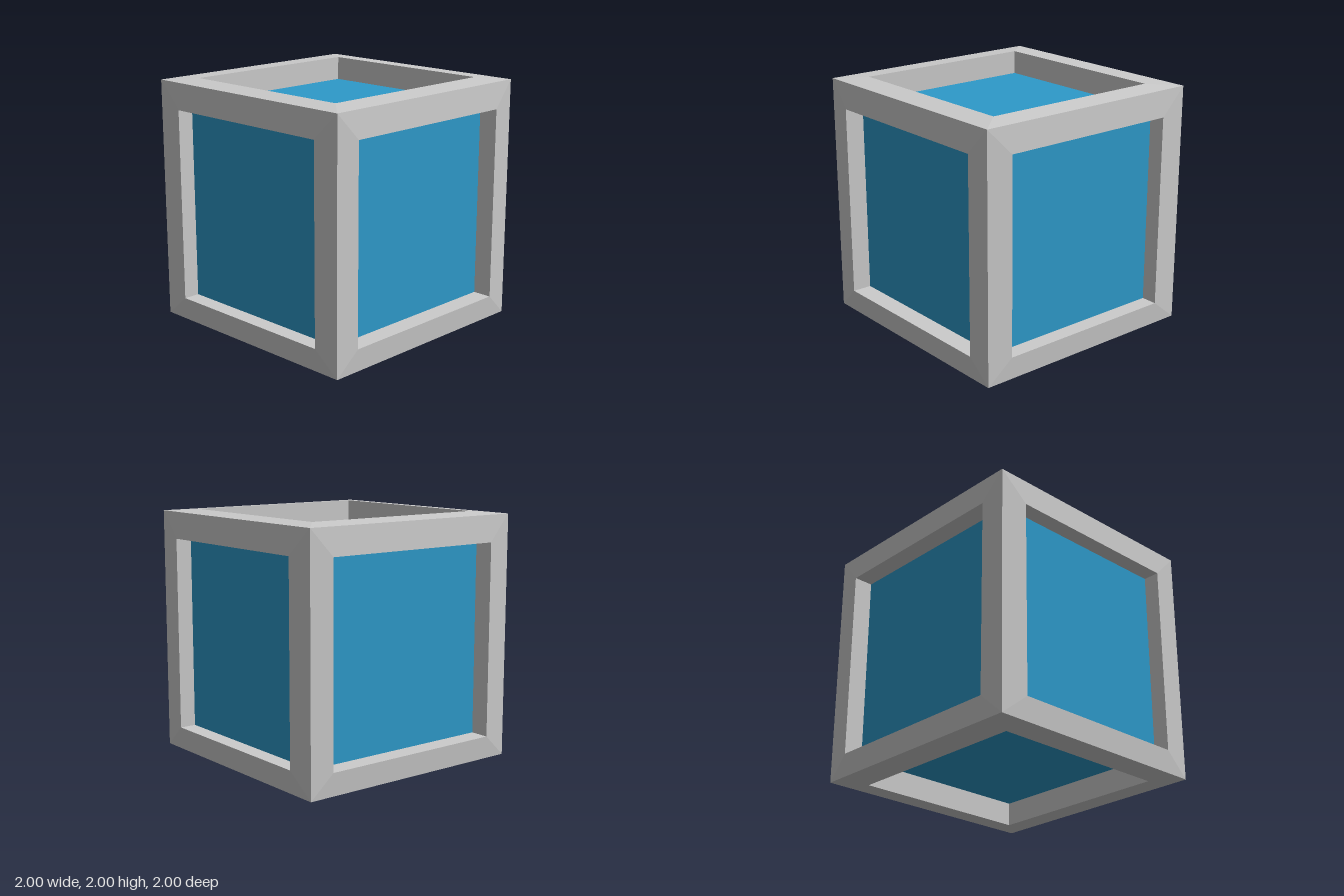
import * as THREE from 'three';

// Window limits and panel half size along x, y, z, measured from the cube centre
const LOW = [-0.755, -0.8, -0.79];
const HIGH = [0.77, 0.77, 0.785];
const PANEL = [0.84, 0.805, 0.865];
const CORNER = 0.985; // the cube's corners sit slightly inside the face planes
const NAMES = [['left', 'right'], ['top', 'bottom'], ['front', 'back']];

// One side of the frame: a sloped border around the window plus the recess walls
function frameSide(axis, sign) {
  const b = (axis + 1) % 3, c = (axis + 2) % 3;
  const ring = (lowB, highB, lowC, highC, depth) =>
    [[lowB, lowC], [highB, lowC], [highB, highC], [lowB, highC]].map(([u, v]) => {
      const p = [0, 0, 0];
      p[axis] = sign * depth;
      p[b] = u;
      p[c] = v;
      return p;
    });
  const rings = [
    ring(-CORNER, CORNER, -CORNER, CORNER, CORNER),
    ring(LOW[b], HIGH[b], LOW[c], HIGH[c], 1),
    ring(LOW[b], HIGH[b], LOW[c], HIGH[c], PANEL[axis] - 0.01),
  ];
  const positions = [];
  for (let r = 0; r < 2; r++) {
    for (let i = 0; i < 4; i++) {
      const j = (i + 1) % 4;
      const quad = [rings[r][i], rings[r][j], rings[r + 1][j], rings[r + 1][i]];
      if (sign < 0) quad.reverse();
      for (const k of [0, 1, 2, 0, 2, 3]) positions.push(...quad[k]);
    }
  }
  const geometry = new THREE.BufferGeometry();
  geometry.setAttribute('position', new THREE.Float32BufferAttribute(positions, 3));
  geometry.computeVertexNormals();
  return geometry;
}

export function createModel() {
  const model = new THREE.Group();
  model.name = 'framedCube';
  const grey = new THREE.MeshStandardMaterial({ color: 0xcccccc, flatShading: true });
  const blue = new THREE.MeshStandardMaterial({ color: 0x2e9aca });

  // Frame, one mesh per side
  const frame = new THREE.Group();
  frame.name = 'frame';
  for (let axis = 0; axis < 3; axis++) {
    [1, -1].forEach((sign, k) => {
      const side = new THREE.Mesh(frameSide(axis, sign), grey);
      side.name = NAMES[axis][k] + 'Frame';
      frame.add(side);
    });
  }

  // Blue inner block forming the recessed panels
  const core = new THREE.Mesh(new THREE.BoxGeometry(...PANEL.map((h) => 2 * h)), blue);
  core.name = 'innerBlock';

  model.add(frame, core);
  model.children.forEach((part) => (part.position.y = 1));
  return model;
}
